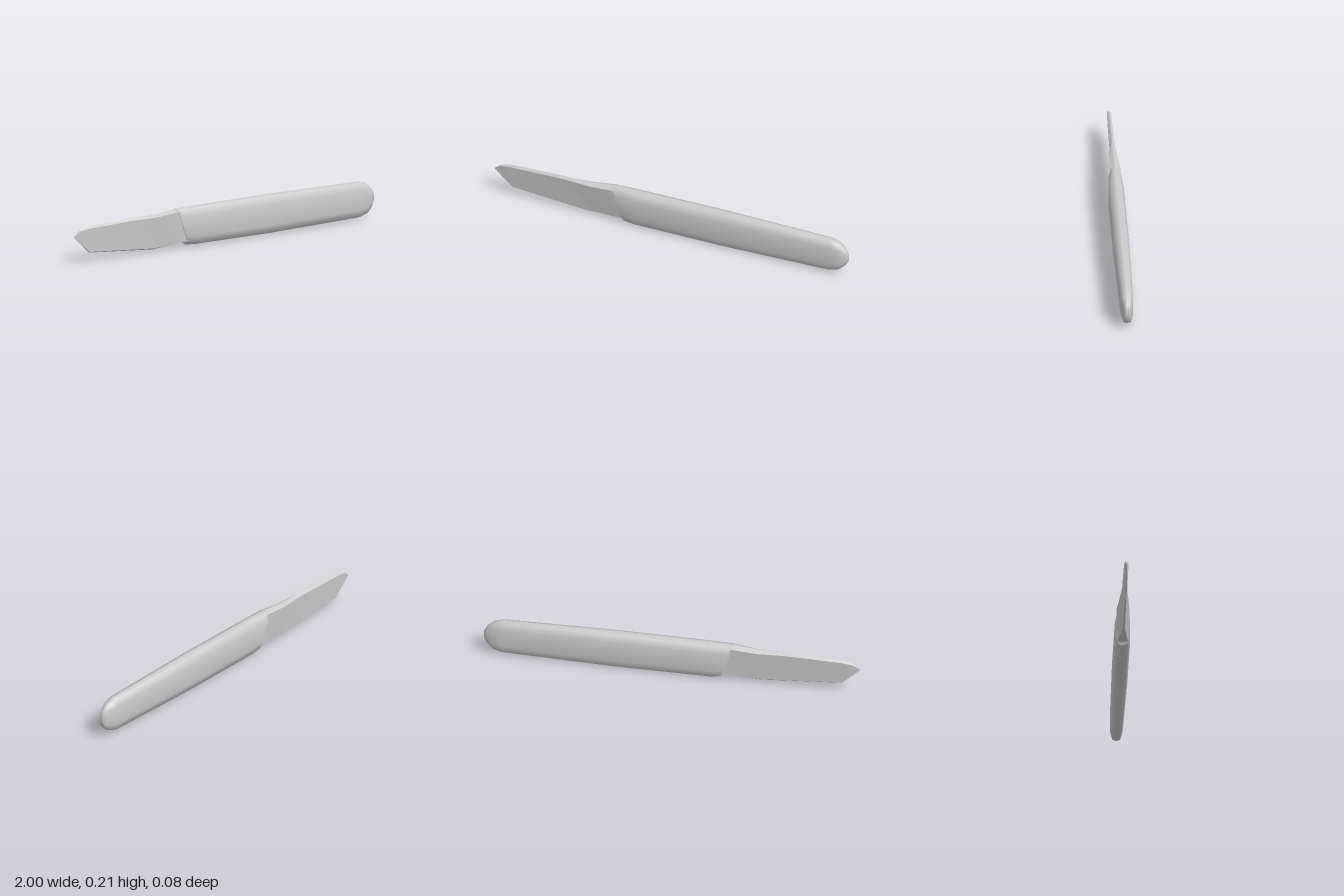
import * as THREE from 'three';
import { toCreasedNormals } from 'three/addons/utils/BufferGeometryUtils.js';

// Skin a row of closed cross-sections (ordered along +x) and cap both ends
function loft(sections, crease) {
  const n = sections[0].length, pos = [], index = [];
  sections.forEach(s => s.forEach(p => pos.push(...p)));
  for (let i = 0; i < sections.length - 1; i++) {
    for (let j = 0; j < n; j++) {
      const k = (j + 1) % n;
      const a = i * n + j, b = i * n + k, c = b + n, d = a + n;
      index.push(a, b, c, a, c, d);
    }
  }
  const last = (sections.length - 1) * n;
  for (let j = 1; j < n - 1; j++) {
    index.push(0, j + 1, j, last, last + j, last + j + 1);
  }
  const g = new THREE.BufferGeometry();
  g.setAttribute('position', new THREE.Float32BufferAttribute(pos, 3));
  g.setIndex(index);
  return toCreasedNormals(g, crease);
}

// Complete a half outline (top to bottom on the +z side) by mirroring it
function mirrored(half) {
  const back = half.slice(1, -1).reverse().map(([x, y, z]) => [x, y, -z]);
  return [...half, ...back];
}

// Ten-sided handle section, leaning from xTop to xBot
const HALF = [[0, 1], [0.67, 0.92], [1, 0.54], [1, -0.54], [0.67, -0.92], [0, -1]];
function handleSection([xTop, xBot, yTop, yBot, w]) {
  return mirrored(HALF.map(([u, v]) => {
    const t = (1 - v) / 2;
    return [xTop + (xBot - xTop) * t, yTop + (yBot - yTop) * t, u * w];
  }));
}

// Flat-sided blade section with a low ridge on its back
function bladeSection([xTop, xBot, yTop, yBot, wTop, wBot]) {
  const h = yTop - yBot;
  return mirrored([
    [xTop, yTop, 0], [xTop, yTop - 0.07 * h, wTop],
    [xBot, yBot + 0.03 * h, wBot], [xBot, yBot, 0],
  ]);
}

export function createModel() {
  const model = new THREE.Group();
  const material = new THREE.MeshStandardMaterial({ color: 0xcccccc });
  const add = (name, geometry) => {
    const mesh = new THREE.Mesh(geometry, material);
    mesh.name = name;
    model.add(mesh);
  };

  // Handle: xTop, xBot, yTop, yBot, half thickness
  add('handle', loft([
    [-0.33, -0.26, 0.211, 0.012, 0.034],
    [-0.2, -0.2, 0.212, 0.006, 0.04],
    [0.3, 0.3, 0.213, 0.003, 0.04],
    [0.9, 0.9, 0.204, 0.012, 0.033],
    [0.95, 0.95, 0.189, 0.027, 0.028],
    [0.985, 0.985, 0.157, 0.058, 0.018],
    [1, 1, 0.128, 0.088, 0.008],
  ].map(handleSection), 1.1));

  // Blade: xTop, xBot, yTop, yBot, half thickness of back and of cutting edge
  add('blade', loft([
    [-1, -1, 0.143, 0.138, 0.001, 0.001],
    [-0.96, -0.96, 0.174, 0.1, 0.008, 0.003],
    [-0.9, -0.9, 0.187, 0.047, 0.012, 0.004],
    [-0.61, -0.47, 0.196, 0.012, 0.013, 0.006],
    [-0.46, -0.38, 0.196, 0.02, 0.024, 0.014],
    [-0.32, -0.25, 0.211, 0.03, 0.033, 0.03],
  ].map(bladeSection), 0.3));

  return model;
}
